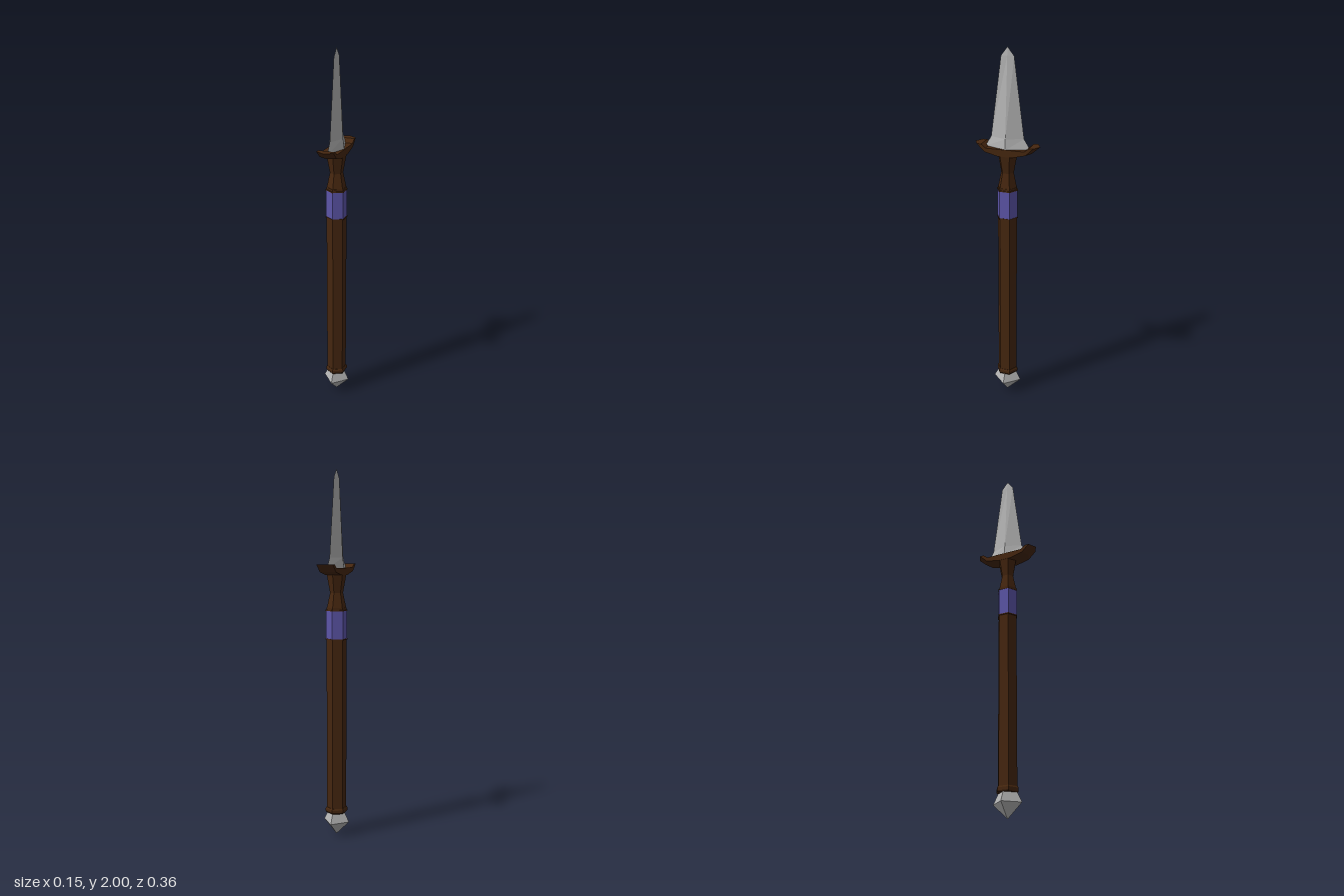
import * as THREE from 'three';

const mat = (name, color) => {
  const m = new THREE.MeshStandardMaterial({ color, flatShading: true });
  m.name = name;
  return m;
};

// Faceted solid from rings [y, half width in x, half width in z], bottom to top
function loft(rings, sides) {
  const n = rings.length - 1;
  const g = new THREE.CylinderGeometry(1, 1, n, sides, n);
  const p = g.attributes.position;
  for (let i = 0; i < p.count; i++) {
    const [y, rx, rz] = rings[Math.round(p.getY(i) + n / 2)];
    p.setXYZ(i, p.getX(i) * rx, y, p.getZ(i) * rz);
  }
  g.computeVertexNormals();
  return g;
}

// Six-sided rings with equal radius in both directions
const hex = (rings) => loft(rings.map(([y, r]) => [y, r, r]), 6);

// Crossguard: a z/y profile carried across x, with its ends pointed at the middle
function guardGeometry() {
  const half = [[0.04, 1.445, 0], [0.112, 1.463, 0.02], [0.153, 1.503, 0.025], [0.13, 1.503, 0], [0.105, 1.483, 0]];
  const profile = [...half, ...half.map(([z, y, d]) => [-z, y, -d]).reverse()];
  const shape = new THREE.Shape(profile.map(([z, y]) => new THREE.Vector2(z, y)));
  const g = new THREE.ExtrudeGeometry(shape, { depth: 0.094, steps: 2, bevelEnabled: false });
  g.translate(0, 0, -0.047);
  const p = g.attributes.position;
  for (let i = 0; i < p.count; i++) {
    const z = p.getX(i), y = p.getY(i), x = p.getZ(i);
    if (Math.abs(x) < 0.001) {
      const hit = profile.find((q) => Math.abs(q[0] - z) < 1e-4 && Math.abs(q[1] - y) < 1e-4);
      if (hit) p.setX(i, z + hit[2]);
    }
  }
  g.rotateY(-Math.PI / 2);
  g.computeVertexNormals();
  return g;
}

export function createModel() {
  const group = new THREE.Group();
  const steel = mat('steel', 0xb2b2b2);
  const wood = mat('dark wood', 0x45260f);
  const cloth = mat('blue wrap', 0x5c55a8);
  const add = (name, geometry, material) => {
    const m = new THREE.Mesh(geometry, material);
    m.name = name;
    group.add(m);
  };

  // Diamond-section pommel and blade
  add('pommel', loft([[0, 0, 0], [0.077, 0.075, 0.08], [0.135, 0.047, 0.05]], 4), steel);
  add('blade', loft([[1.48, 0.044, 0.125], [1.537, 0.036, 0.09], [1.955, 0.005, 0.035], [2, 0, 0]], 4), steel);

  // Six-sided handle with a collar at its foot and a waisted neck
  add('shaft', hex([[0.13, 0.054], [1.27, 0.054]]), wood);
  add('collar', hex([[0.128, 0.056], [0.135, 0.061], [0.15, 0.061], [0.158, 0.056]]), wood);
  add('neck', hex([[1.255, 0.055], [1.35, 0.035], [1.455, 0.054]]), wood);

  // Blue wrap with a thin rim at each end
  add('wrap', hex([[1.1, 0.057], [1.258, 0.057]]), cloth);
  for (const y of [1.1, 1.256]) add('wrapRim', hex([[y - 0.003, 0.059], [y + 0.003, 0.059]]), wood);

  add('crossguard', guardGeometry(), wood);
  return group;
}
